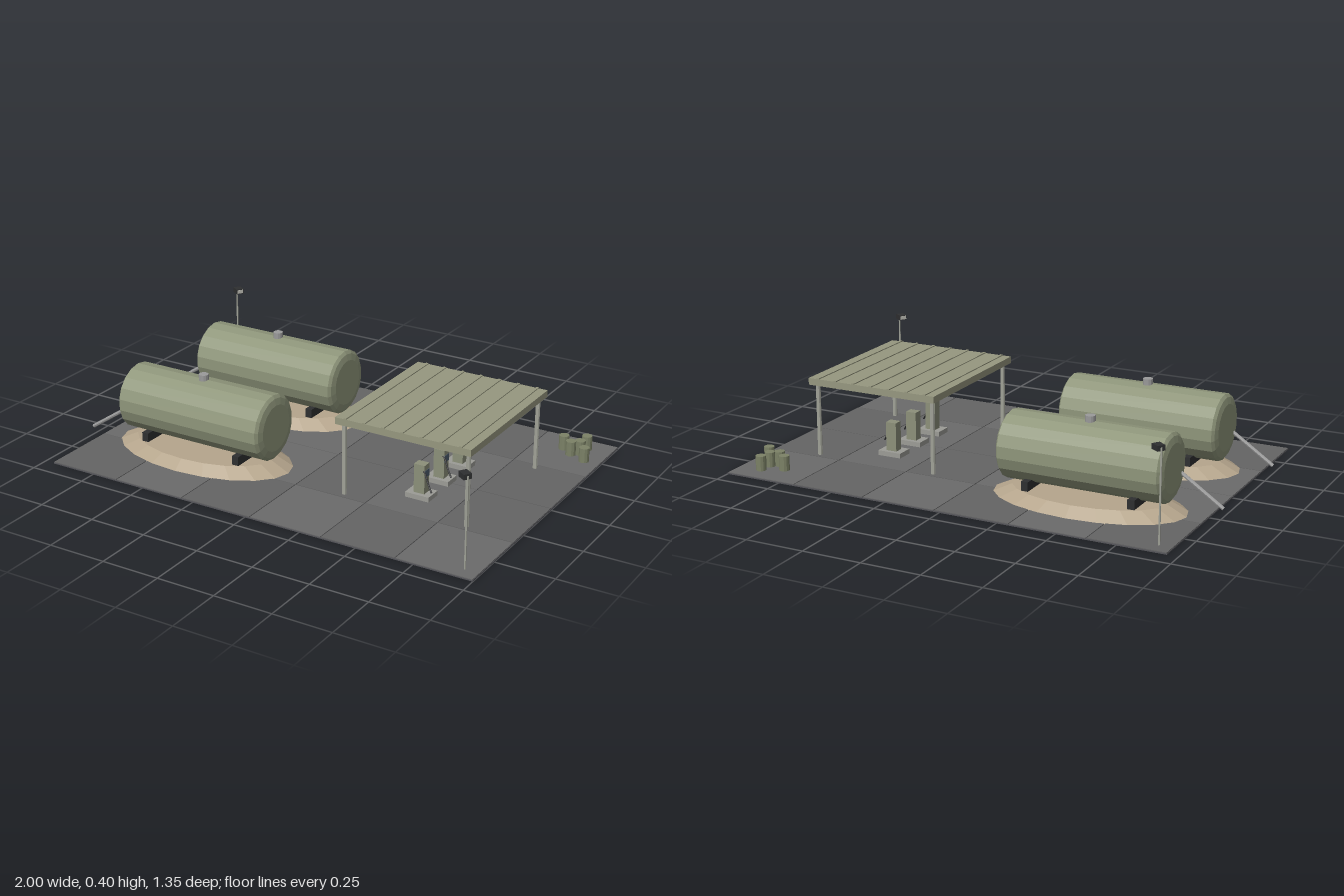
import * as THREE from 'three';

const mat = (color) => new THREE.MeshStandardMaterial({ color, flatShading: true });
const M = {
  tank: mat(0x8f967b), slab: mat(0x55555a), tileA: mat(0x646464), tileB: mat(0x6b6b6b),
  sand: mat(0xb5a58c), canopy: mat(0x96977f), post: mat(0xa3a59a), dark: mat(0x2e2f30),
  concrete: mat(0x9c9c96), pump: mat(0x8c907a), screen: mat(0x4c5c6c), barrel: mat(0x7c8267),
  pipe: mat(0x9a9a9a), lamp: mat(0xb8b8b0),
};

function add(parent, name, geometry, material, x = 0, y = 0, z = 0) {
  const mesh = new THREE.Mesh(geometry, material);
  mesh.name = name;
  mesh.position.set(x, y, z);
  parent.add(mesh);
  return mesh;
}

function group(parent, name, x = 0, y = 0, z = 0) {
  const g = new THREE.Group();
  g.name = name;
  g.position.set(x, y, z);
  parent.add(g);
  return g;
}

const box = (w, h, d) => new THREE.BoxGeometry(w, h, d);
const cyl = (r, h, sides = 8, rTop = r) => new THREE.CylinderGeometry(rTop, r, h, sides);

// straight round bar between two points
function bar(parent, name, a, b, r, material) {
  const from = new THREE.Vector3(...a), to = new THREE.Vector3(...b);
  const dir = to.clone().sub(from);
  const m = add(parent, name, cyl(r, dir.length()), material);
  m.position.copy(from).addScaledVector(dir, 0.5);
  m.quaternion.setFromUnitVectors(new THREE.Vector3(0, 1, 0), dir.normalize());
  return m;
}

// paved yard: thin slab with 6 x 4 tiles
function addGround(parent) {
  const g = group(parent, 'ground', 0.0225);
  const w = 1.955, d = 1.352, nx = 6, nz = 4, gap = 0.004;
  add(g, 'groundSlab', box(w, 0.005, d), M.slab, 0, 0.0025, 0);
  for (let i = 0; i < nx; i++) for (let j = 0; j < nz; j++) {
    add(g, 'groundTile', box(w / nx - gap, 0.004, d / nz - gap), (i * 2 + j * 3) % 4 < 2 ? M.tileA : M.tileB,
      (i + 0.5) * w / nx - w / 2, 0.006, (j + 0.5) * d / nz - d / 2);
  }
}

// storage tank lying on two saddles over an oval sand mound
function addTank(parent, z) {
  const g = group(parent, 'storageTank', -0.47, 0, z);
  const mound = add(g, 'mound', cyl(0.42, 0.043, 20, 0.33), M.sand, 0, 0.0255, 0);
  mound.scale.z = 0.54;
  for (const x of [-0.228, 0.228]) add(g, 'saddle', box(0.03, 0.042, 0.235), M.dark, x, 0.065, 0);

  // closed shell with shallow tapered ends
  const profile = [[0, -0.355], [0.1, -0.355], [0.128, -0.349], [0.141, -0.339],
    [0.141, 0.339], [0.128, 0.349], [0.1, 0.355], [0, 0.355]].map(([r, h]) => new THREE.Vector2(r, h));
  const shell = new THREE.LatheGeometry(profile, 18);
  shell.rotateY(Math.PI / 2);
  shell.rotateZ(Math.PI / 2);
  add(g, 'tankShell', shell, M.tank, 0, 0.198, 0);
  add(g, 'hatch', cyl(0.021, 0.035, 12), M.pipe, 0, 0.344, 0);
  bar(g, 'fillPipe', [-0.53, 0.036, 0.082], [-0.33, 0.17, 0.082], 0.008, M.pipe);
}

// flat ribbed canopy on four posts
function addCanopy(parent) {
  const g = group(parent, 'canopy', 0.51);
  add(g, 'roof', box(0.6, 0.029, 0.68), M.canopy, 0, 0.3355, 0);
  for (let i = 0; i < 7; i++) add(g, 'roofRib', box(0.012, 0.005, 0.68), M.canopy, (i - 3) * 0.085, 0.3515, 0);
  for (const x of [-0.275, 0.275]) for (const z of [-0.308, 0.308])
    add(g, 'post', cyl(0.01, 0.32, 8), M.post, x, 0.165, z);
}

// fuel pump on its plinth, with a hose on the display side
function addPump(parent, z) {
  const g = group(parent, 'fuelPump', 0.508, 0, z);
  add(g, 'plinth', box(0.107, 0.024, 0.076), M.concrete, 0, 0.017, 0);
  add(g, 'pumpBody', box(0.048, 0.125, 0.04), M.pump, 0, 0.091, 0);
  add(g, 'pumpScreen', box(0.003, 0.03, 0.033), M.screen, 0.0245, 0.115, 0);
  const path = new THREE.CatmullRomCurve3([[0.018, 0.13, 0.018], [0.03, 0.115, 0.021], [0.046, 0.083, 0.029], [0.067, 0.052, 0.038]]
    .map((p) => new THREE.Vector3(...p)));
  add(g, 'hose', new THREE.TubeGeometry(path, 8, 0.0035, 6), M.dark);
}

// floodlight on a thin pole, aimed at the middle of the yard
function addFloodlight(parent, x, z) {
  const g = group(parent, 'floodlight', x, 0, z);
  add(g, 'lightPole', cyl(0.004, 0.385, 6), M.post, 0, 0.195, 0);
  const head = group(g, 'lightHead', 0, 0.385, 0);
  head.rotation.y = Math.atan2(z, -x);
  add(head, 'lampHousing', box(0.04, 0.022, 0.034), M.dark, 0.02, 0, 0);
  add(head, 'lampFace', box(0.003, 0.016, 0.028), M.lamp, 0.041, 0, 0);
}

export function createModel() {
  const model = new THREE.Group();
  model.name = 'fuelDepot';
  addGround(model);
  for (const z of [-0.304, 0.264]) addTank(model, z);
  addCanopy(model);
  for (const z of [-0.166, 0, 0.166]) addPump(model, z);
  addFloodlight(model, 0.938, 0.618);
  addFloodlight(model, -0.9, -0.62);

  // loose cluster of drums
  const drums = group(model, 'drums');
  for (const [x, z] of [[0.807, -0.545], [0.893, -0.588], [0.888, -0.53], [0.856, -0.505], [0.93, -0.473]])
    add(drums, 'drum', cyl(0.022, 0.064, 12), M.barrel, x, 0.039, z);
  return model;
}
